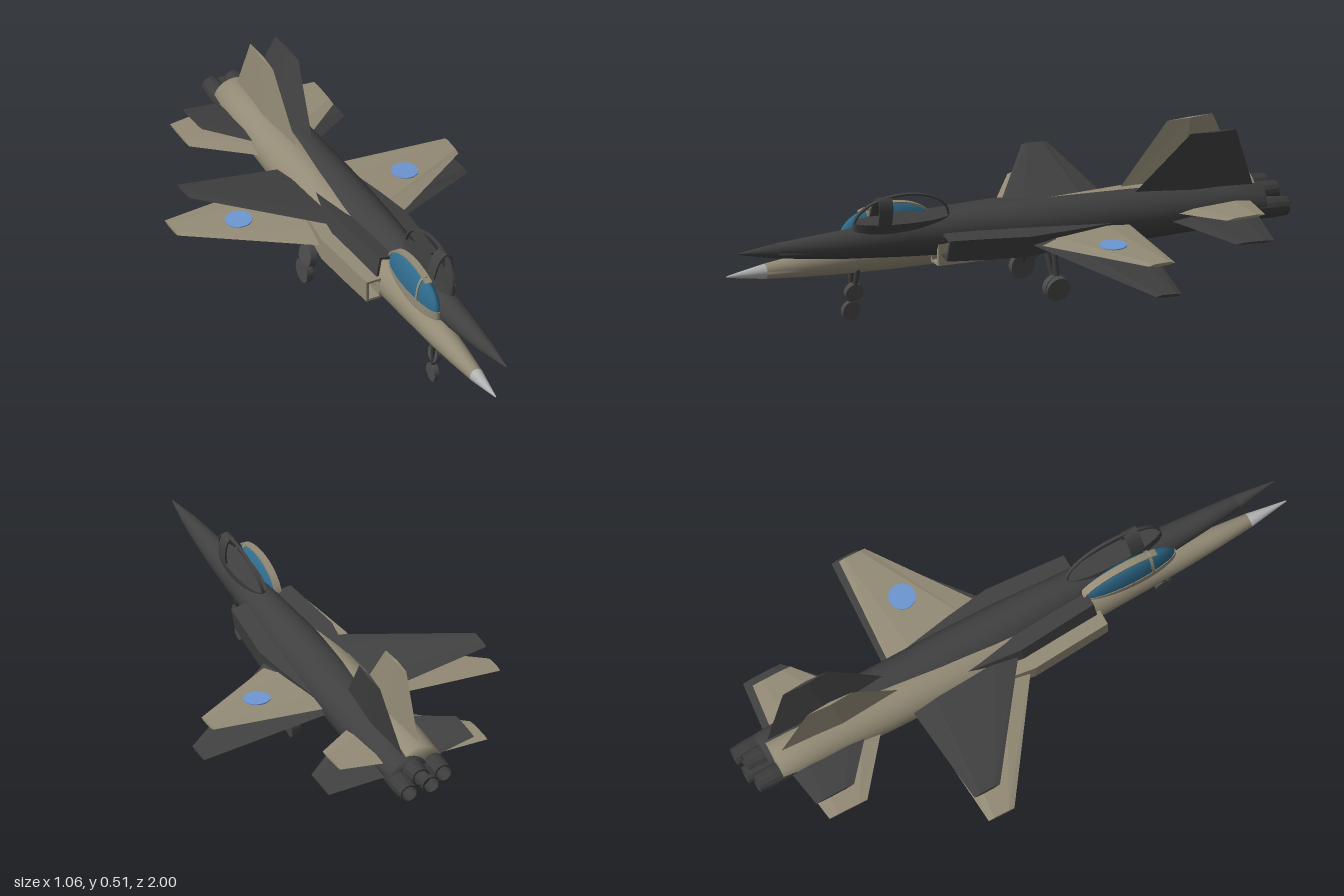
import * as THREE from 'three';

const mat = (name, color, side = THREE.FrontSide) => {
  const m = new THREE.MeshStandardMaterial({ color, side });
  m.name = name;
  return m;
};

// Skin through rings of [x, y, z] points, each running anticlockwise seen from the start end
function loft(rings, flat = true) {
  const n = rings[0].length, index = [], last = (rings.length - 1) * n;
  for (let j = 0; j < rings.length - 1; j++) {
    for (let i = 0; i < n; i++) {
      const a = j * n + i, b = j * n + (i + 1) % n, c = b + n, d = a + n;
      index.push(a, d, b, b, d, c);
    }
  }
  for (let i = 1; i < n - 1; i++) index.push(0, i, i + 1, last, last + i + 1, last + i);
  let g = new THREE.BufferGeometry();
  g.setAttribute('position', new THREE.Float32BufferAttribute(rings.flat(2), 3));
  g.setIndex(index);
  if (flat) g = g.toNonIndexed();
  g.computeVertexNormals();
  return g;
}

const oval = (z, x, y, rx, ry, n) => Array.from({ length: n }, (_, i) => {
  const a = i / n * Math.PI * 2;
  return [x + Math.cos(a) * rx, y + Math.sin(a) * ry, z];
});

// Both halves of a flat lifting surface in one skin, tip to tip
function wingGeometry(root, tip) {
  const section = (s, { x, y, t, front, back }) => {
    const at = k => front + (back - front) * k;
    return [[s * x, y, front], [s * x, y + t, at(0.22)], [s * x, y + t, at(0.78)],
      [s * x, y, back], [s * x, y - t, at(0.78)], [s * x, y - t, at(0.22)]];
  };
  return loft([section(-1, tip), section(-1, root), section(1, root), section(1, tip)]);
}

// Half-ellipse hoop, extruded and centred on its depth
function hoop(rx, ry, thick, depth, from = 0, to = Math.PI) {
  const s = new THREE.Shape();
  s.absellipse(0, 0, rx, ry, from, to, false);
  const inner = new THREE.EllipseCurve(0, 0, rx - thick, ry - thick, to, from, true);
  inner.getPoints(20).forEach(p => s.lineTo(p.x, p.y));
  s.closePath();
  const g = new THREE.ExtrudeGeometry(s, { depth, bevelEnabled: false, curveSegments: 20 });
  return g.translate(0, 0, -depth / 2);
}

function strut(a, b, r) {
  const A = new THREE.Vector3(...a), B = new THREE.Vector3(...b), d = B.clone().sub(A);
  const g = new THREE.CylinderGeometry(r, r, d.length(), 8);
  g.applyQuaternion(new THREE.Quaternion().setFromUnitVectors(new THREE.Vector3(0, 1, 0), d.normalize()));
  return g.translate(...A.add(B).multiplyScalar(0.5).toArray());
}

const wheelGeometry = (r, w, x, y, z) =>
  new THREE.CylinderGeometry(r, r, w, 18).rotateZ(Math.PI / 2).translate(x, y, z);

function buildJet(name, m, burnt) {
  const jet = new THREE.Group();
  jet.name = name;
  const add = (part, geometry, material) => {
    const mesh = new THREE.Mesh(geometry, material);
    mesh.name = part;
    jet.add(mesh);
    return mesh;
  };

  // Nose cone and fuselage: z, centre y, half width, half height
  const nose = [[1.0, 0.22, 0.002, 0.002], [0.95, 0.219, 0.01, 0.011], [0.86, 0.218, 0.024, 0.025]];
  const body = [[0.86, 0.218, 0.024, 0.025], [0.73, 0.217, 0.036, 0.038], [0.6, 0.217, 0.046, 0.049],
    [0.4, 0.22, 0.056, 0.064], [0.2, 0.222, 0.066, 0.073], [0, 0.222, 0.08, 0.078],
    [-0.2, 0.222, 0.085, 0.082], [-0.5, 0.222, 0.085, 0.083], [-0.75, 0.227, 0.078, 0.073],
    [-0.9, 0.229, 0.07, 0.06]];
  const rings = list => list.map(([z, y, rx, ry]) => oval(z, 0, y, rx, ry, 24));
  add('noseCone', loft(rings(nose), false), m.nose);
  add('fuselage', loft(rings(body), false), m.body);

  // Wings, tailplanes and fin
  add('wings', wingGeometry({ x: 0.075, y: 0.222, t: 0.012, front: 0.02, back: -0.41 },
    { x: 0.512, y: 0.213, t: 0.005, front: -0.285, back: -0.38 }), m.body);
  add('tailplanes', wingGeometry({ x: 0.06, y: 0.229, t: 0.01, front: -0.53, back: -0.86 },
    { x: 0.263, y: 0.229, t: 0.004, front: -0.695, back: -0.835 }), m.body);
  const finRing = (y, t, front, back) => {
    const mid = (front + back) / 2;
    return [[t, y, mid], [0, y, front], [-t, y, mid], [0, y, back]];
  };
  add('fin', loft([finRing(0.27, 0.016, -0.41, -0.88), finRing(0.505, 0.005, -0.61, -0.775)]), m.body);

  // Cockpit sill, canopy and frames
  const sill = new THREE.Shape();
  sill.absellipse(0, 0, 0.038, 0.175, 0, Math.PI * 2);
  add('cockpitSill', new THREE.ExtrudeGeometry(sill, { depth: 0.04, bevelEnabled: false, curveSegments: 24 })
    .rotateX(-Math.PI / 2).translate(0, 0.255, 0.415), m.body);
  if (!burnt) {
    add('canopy', new THREE.SphereGeometry(1, 28, 12, 0, Math.PI * 2, 0, Math.PI / 2)
      .scale(0.036, 0.094, 0.172).translate(0, 0.291, 0.415), m.glass);
  }
  add('canopySpine', hoop(0.174, 0.096, 0.006, burnt ? 0.01 : 0.024, burnt ? 0 : Math.PI * 0.3)
    .rotateY(-Math.PI / 2).translate(0, 0.291, 0.415), m.body);
  add('canopyBow', hoop(0.035, 0.088, 0.006, burnt ? 0.05 : 0.01).translate(0, 0.291, 0.49), m.body);

  for (const s of [1, -1]) {
    // Air intakes, hollow at the mouth
    const box = (z, x0, x1, y0, y1) => {
      const lo = Math.min(s * x0, s * x1), hi = Math.max(s * x0, s * x1);
      return [[hi, y0, z], [hi, y1, z], [lo, y1, z], [lo, y0, z]];
    };
    add('intake', loft([
      box(0.1, 0.062, 0.1, 0.186, 0.246), box(0.28, 0.062, 0.1, 0.186, 0.246),
      box(0.28, 0.054, 0.108, 0.178, 0.254), box(0.14, 0.05, 0.12, 0.177, 0.256),
      box(0, 0.04, 0.132, 0.18, 0.256), box(-0.15, 0.03, 0.112, 0.185, 0.252),
      box(-0.35, 0.02, 0.078, 0.195, 0.245)]), m.body);

    // Engine nozzles
    const nozzle = (z, r) => oval(z, s * 0.04, 0.222, r, r, 14);
    add('nozzle', loft([nozzle(-0.82, 0.034), nozzle(-0.93, 0.036), nozzle(-0.985, 0.031),
      nozzle(-0.985, 0.026), nozzle(-0.92, 0.024)]), m.metal);

    // Main landing gear
    add('mainLeg', strut([s * 0.065, 0.18, -0.13], [s * 0.116, 0.05, -0.14], 0.01), m.metal);
    add('mainWheel', wheelGeometry(0.042, 0.024, s * 0.122, 0.043, -0.14), m.tyre);

    // Round wing markings
    if (!burnt) {
      add('wingMarking', new THREE.CylinderGeometry(0.045, 0.045, 0.006, 28)
        .rotateZ(-s * 0.038).translate(s * 0.303, 0.226, -0.26), m.marking);
    }
  }

  // Nose landing gear
  add('noseLeg', strut([0, 0.18, 0.545], [0, 0.04, 0.545], 0.009), m.metal);
  add('noseWheel', wheelGeometry(0.032, 0.018, 0, 0.033, 0.545), m.tyre);
  return jet;
}

export function createModel() {
  const tan = mat('tan paint', 0x938b76), burnt = mat('charred metal', 0x404040);
  const shared = { metal: mat('gunmetal', 0x3c3c3c), tyre: mat('tyre grey', 0x4a4a4a) };
  const model = new THREE.Group();
  model.name = 'fighterJets';

  const intact = buildJet('intactJet', { ...shared, body: tan, nose: mat('nose grey', 0xb2b2b2),
    glass: mat('canopy blue', 0x2f6b8c), marking: mat('marking blue', 0x6c96d2) }, false);
  intact.position.x = -0.018;

  // Charred twin, rolled and pitched about its wing centre
  const wreck = buildJet('charredJet', { ...shared, body: burnt, nose: burnt }, true);
  wreck.position.set(0, -0.215, 0.3);
  const tilt = new THREE.Group();
  tilt.name = 'charredJetTilt';
  tilt.position.set(0.03, 0.225, -0.315);
  tilt.rotation.set(-0.063, 0, -0.208);
  tilt.add(wreck);

  model.add(intact, tilt);
  return model;
}
